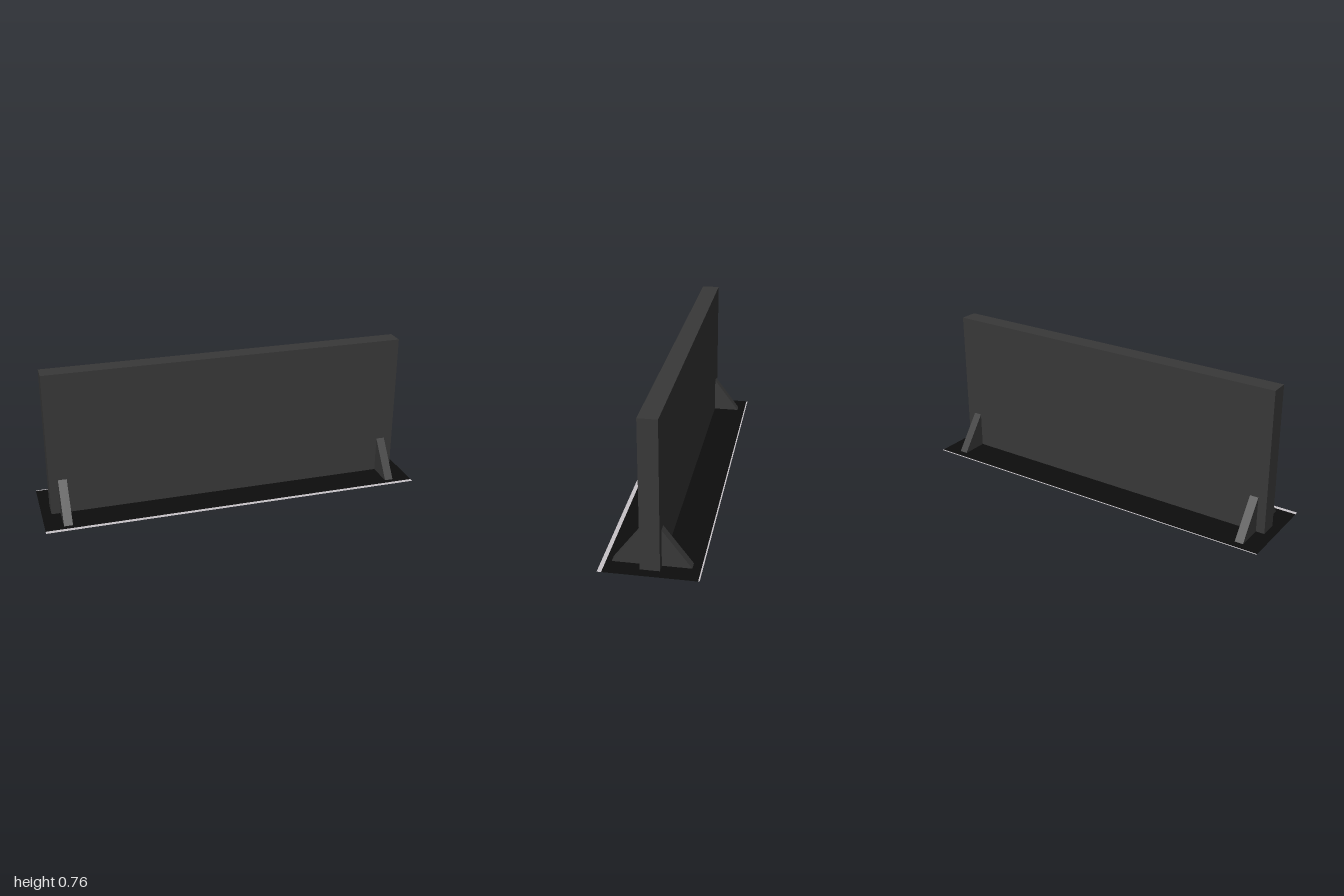
import * as THREE from 'three';

export function createModel() {
  const group = new THREE.Group();
  group.name = 'barrier';
  const wallMat = new THREE.MeshStandardMaterial({ name: 'dark grey', color: 0x383838 });
  const baseMat = new THREE.MeshStandardMaterial({ name: 'black', color: 0x0d0d0d, side: THREE.DoubleSide });
  const edgeMat = new THREE.MeshStandardMaterial({ name: 'pale grey', color: 0xc8c4c8, side: THREE.DoubleSide });

  const add = (name, geometry, material) => {
    const mesh = new THREE.Mesh(geometry, material);
    mesh.name = name;
    group.add(mesh);
    return mesh;
  };

  // Upright slab
  const height = 0.763, half = 0.047;
  add('wall', new THREE.BoxGeometry(1.9, height, half * 2).translate(0, height / 2, 0), wallMat);

  // Triangular braces, two on each face
  const profile = new THREE.Shape([
    new THREE.Vector2(half, 0),
    new THREE.Vector2(0.19, 0),
    new THREE.Vector2(half, 0.191),
  ]);
  const braceWidth = 0.045;
  for (const x of [-0.882, 0.882]) {
    for (const turn of [-1, 1]) {
      const geometry = new THREE.ExtrudeGeometry(profile, { depth: braceWidth, bevelEnabled: false })
        .translate(0, 0, -braceWidth / 2)
        .rotateY(turn * Math.PI / 2);
      add(turn < 0 ? 'frontBrace' : 'backBrace', geometry, wallMat).position.x = x;
    }
  }

  // Flat ground sheet, just above the underside of the wall, with pale long edges
  const sheet = (name, z0, z1, material) =>
    add(name, new THREE.PlaneGeometry(2, z1 - z0).rotateX(-Math.PI / 2).translate(0, 0.001, (z0 + z1) / 2), material);
  sheet('groundSheet', -0.23, 0.216, baseMat);
  sheet('frontSheetEdge', 0.216, 0.237, edgeMat);
  sheet('backSheetEdge', -0.237, -0.23, edgeMat);

  return group;
}
